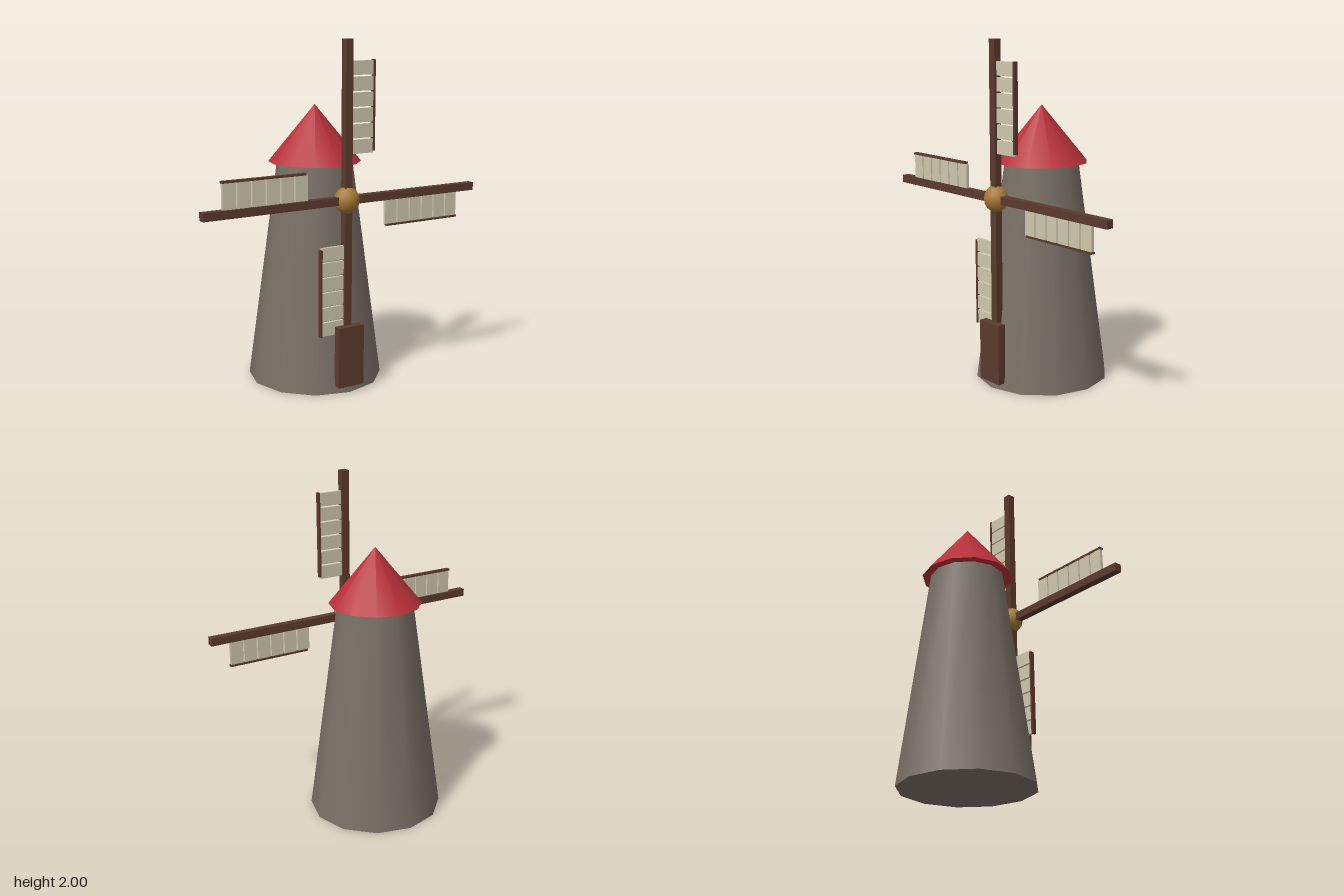
import * as THREE from 'three';

const mat = (name, color) => {
  const m = new THREE.MeshStandardMaterial({ color });
  m.name = name;
  return m;
};

export function createModel() {
  const stone = mat('stone', 0x7a7066);
  const red = mat('roofRed', 0xb8303a);
  const wood = mat('darkWood', 0x5c3a2d);
  const cloth = mat('sailCloth', 0xcfc7ae);
  const brass = mat('hubBrass', 0xa87a35);

  const model = new THREE.Group();
  model.name = 'windmill';
  const add = (parent, name, geometry, material, x, y, z) => {
    const mesh = new THREE.Mesh(geometry, material);
    mesh.name = name;
    mesh.position.set(x, y, z);
    parent.add(mesh);
    return mesh;
  };
  const box = (w, h, d) => new THREE.BoxGeometry(w, h, d);

  // Tapered twelve-sided tower and conical cap
  add(model, 'tower', new THREE.CylinderGeometry(0.22, 0.395, 1.29, 12), stone, 0, 0.645, -0.007);
  add(model, 'roof', new THREE.ConeGeometry(0.27, 0.33, 12), red, 0, 1.455, -0.007);

  // Door slab
  add(model, 'door', box(0.166, 0.355, 0.048), wood, 0, 0.2175, 0.376);

  // Rotor: hub and four arms, each with a one-sided slatted sail
  const rotor = new THREE.Group();
  rotor.name = 'rotor';
  rotor.position.set(0, 1.115, 0.339);
  model.add(rotor);
  add(rotor, 'hub', new THREE.SphereGeometry(1, 12, 8), brass, 0, 0, 0).scale.set(0.074, 0.077, 0.067);

  for (let i = 0; i < 4; i++) {
    const arm = new THREE.Group();
    arm.name = 'arm' + (i + 1);
    arm.rotation.z = -i * Math.PI / 2;
    rotor.add(arm);
    add(arm, 'spar', box(0.046, 0.885, 0.044), wood, 0, 0.4425, 0);
    add(arm, 'sailRail', box(0.012, 0.503, 0.026), wood, 0.17, 0.5185, 0);
    for (let s = 0; s < 6; s++) {
      add(arm, 'sailSlat' + (s + 1), box(0.15, 0.078, 0.018), cloth, 0.09, 0.295 + s * 0.0865, 0);
    }
  }
  return model;
}
